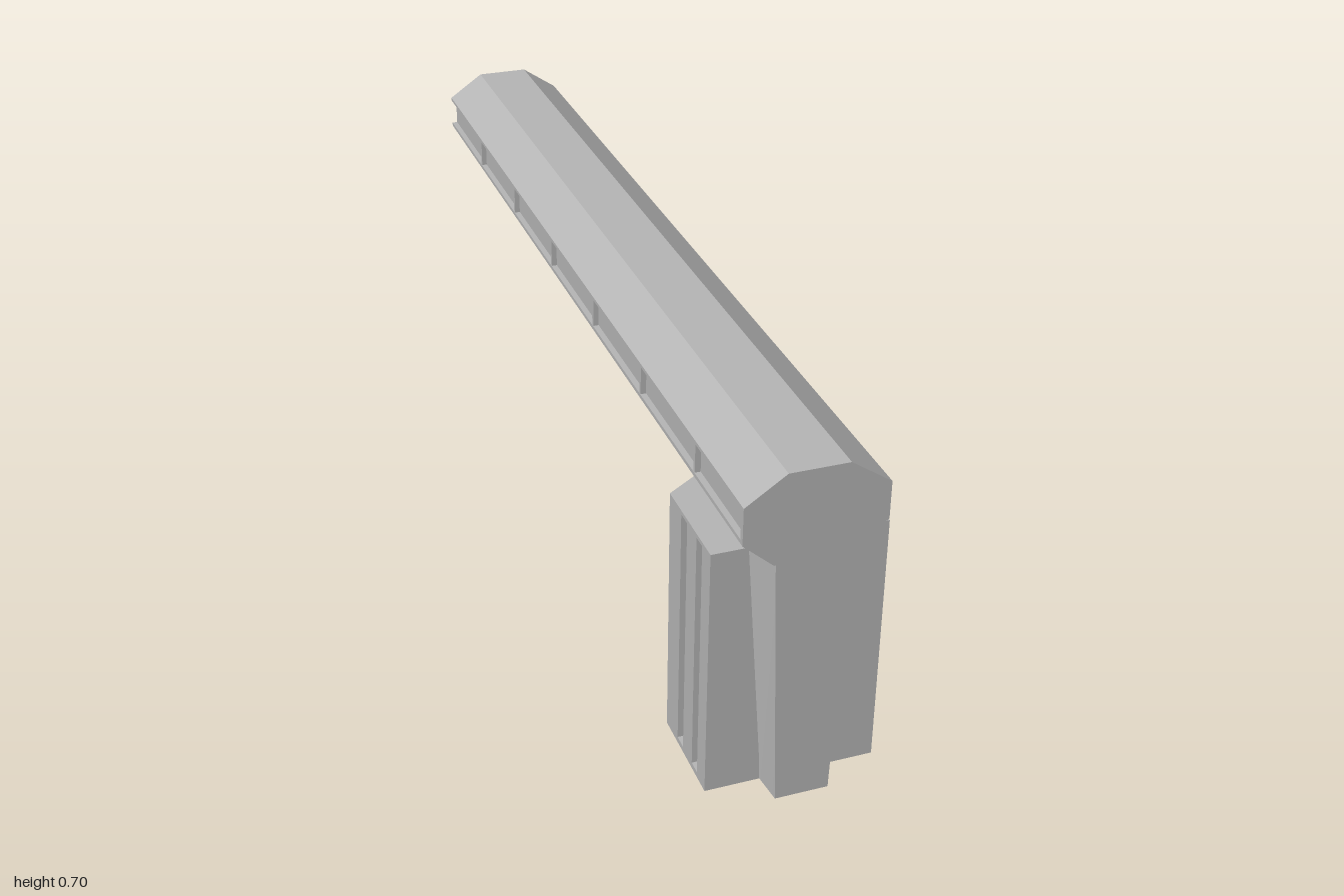
import * as THREE from 'three';

const grey = new THREE.MeshStandardMaterial({ color: 0xb6b6b6 });
grey.name = 'concreteGrey';

// Closed shape from a half profile listed top to bottom on the +x side
const mirrored = (half) => [
  ...half,
  ...half.slice().reverse().map(([x, y]) => [-x, y]),
].map(([x, y]) => new THREE.Vector2(x, y));

const PERIOD = 0.295;

export function createModel() {
  const model = new THREE.Group();
  model.name = 'elevatedWalkway';

  const add = (name, geometry, parent = model) => {
    const mesh = new THREE.Mesh(geometry, grey);
    mesh.name = name;
    parent.add(mesh);
    return mesh;
  };
  const box = (name, w, h, d, x, y, z, parent) => {
    const mesh = add(name, new THREE.BoxGeometry(w, h, d), parent);
    mesh.position.set(x, y, z);
    return mesh;
  };
  const extrude = (shape, depth) =>
    new THREE.ExtrudeGeometry(shape, { depth, bevelEnabled: false });

  // Long hollow corridor, open at the back, with recessed side walls
  const corridor = new THREE.Group();
  corridor.name = 'corridor';
  model.add(corridor);

  const skin = new THREE.Shape(mirrored([
    [0.057, 0.705], [0.135, 0.652], [0.135, 0.645], [0.123, 0.645],
    [0.123, 0.585], [0.135, 0.585], [0.135, 0.577], [0.119, 0.573], [0.07, 0.53],
  ]));
  skin.holes.push(new THREE.Path(mirrored([
    [0.054, 0.699], [0.117, 0.655], [0.117, 0.58], [0.067, 0.536],
  ])));
  add('corridorShell', extrude(skin, 1.99).translate(0, 0, -1), corridor);

  // Solid front end wall
  const endWall = new THREE.Shape(mirrored([
    [0.057, 0.705], [0.135, 0.652], [0.135, 0.577], [0.076, 0.525],
  ]));
  add('frontEndWall', extrude(endWall, 0.01).translate(0, 0, 0.99), corridor);

  // Wall posts and ribs under the sloping sides
  for (const side of [-1, 1]) {
    for (let i = 0; i < 6; i++) {
      box('wallPost', 0.011, 0.06, 0.008, side * 0.1285, 0.615, 0.765 - i * PERIOD, corridor);
      for (const start of [0.7, 0.545]) {
        const rib = box('undersideRib', 0.07, 0.01, 0.012,
          side * 0.098, 0.55, start - i * PERIOD, corridor);
        rib.rotation.z = side * 0.72;
      }
    }
    // Rails along the underside and the inner floor
    box('undersideRail', 0.008, 0.008, 1.99, side * 0.068, 0.527, -0.005, corridor);
    box('undersideRail', 0.008, 0.008, 1.99, side * 0.03, 0.527, -0.005, corridor);
    box('floorRail', 0.008, 0.01, 1.9, side * 0.045, 0.54, -0.05, corridor);
  }

  // Support tower: plan outline, with two vertical grooves per side
  const tower = new THREE.Group();
  tower.name = 'supportTower';
  model.add(tower);

  const grooves = [
    [0.168, -0.9], [0.156, -0.9], [0.156, -0.872], [0.168, -0.872],
    [0.168, -0.825], [0.156, -0.825], [0.156, -0.795], [0.168, -0.795],
  ];
  const plan = (cuts) => new THREE.Shape(mirrored([
    [0.168, -0.94], ...cuts, [0.168, -0.735], [0.085, -0.68],
  ]));
  const slab = (name, cuts, y0, y1) =>
    add(name, extrude(plan(cuts), y1 - y0).rotateX(-Math.PI / 2).translate(0, y0, 0), tower);
  slab('towerBase', [], 0.003, 0.015);
  slab('towerBody', grooves, 0.015, 0.52);
  slab('towerTop', [], 0.52, 0.528);

  // Front pier, widening upward and toward the tower
  const pier = new THREE.BoxGeometry(1, 1, 1);
  const p = pier.attributes.position;
  for (let i = 0; i < p.count; i++) {
    const top = p.getY(i) > 0, front = p.getZ(i) > 0;
    const left = top ? (front ? 0.068 : 0.088) : (front ? 0.052 : 0.058);
    const right = top ? (front ? 0.073 : 0.1) : (front ? 0.053 : 0.06);
    p.setXYZ(i, p.getX(i) > 0 ? left : -right, top ? 0.53 : 0.003, front ? 1 : 0.935);
  }
  pier.computeVertexNormals();
  add('frontPier', pier, tower);

  // Small feet under the pier
  for (const x of [-0.03, 0.025]) box('pierFoot', 0.015, 0.004, 0.02, x, 0.002, 0.985, tower);

  return model;
}
